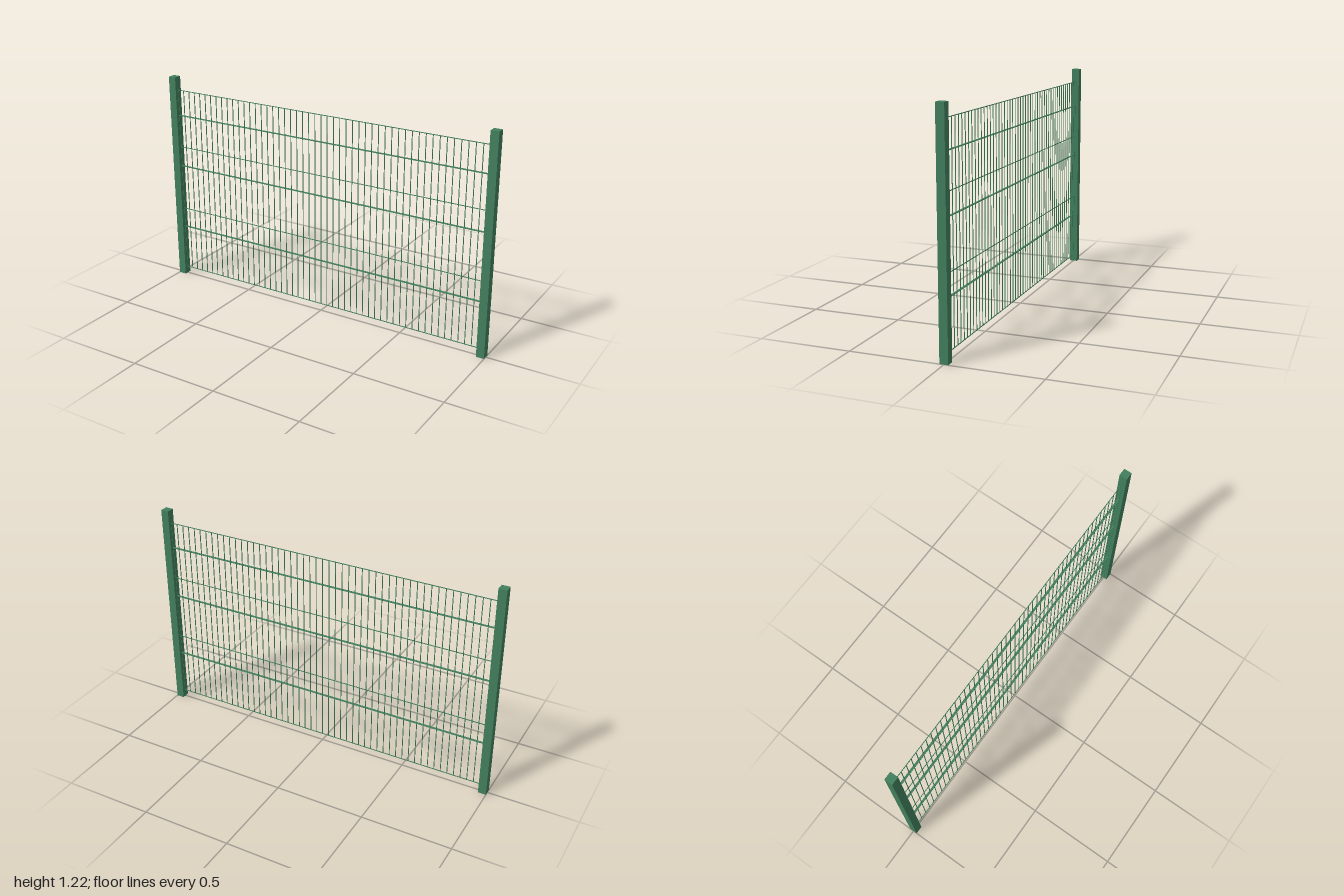
import * as THREE from 'three';

export function createModel() {
  const group = new THREE.Group();
  const green = new THREE.MeshStandardMaterial({ color: 0x427f5d });
  green.name = 'fence green';

  const addBox = (name, w, h, d, x, y) => {
    const mesh = new THREE.Mesh(new THREE.BoxGeometry(w, h, d), green);
    mesh.name = name;
    mesh.position.set(x, y, 0);
    group.add(mesh);
  };

  const postWidth = 0.045, postHeight = 1.222;
  const panelHalf = 1 - postWidth, bottom = 0.042, top = 1.145;
  const wire = 0.0035;

  // Square end posts
  for (const side of [1, -1]) {
    addBox(side > 0 ? 'leftPost' : 'rightPost', postWidth, postHeight, postWidth,
      side * (1 - postWidth / 2), postHeight / 2);
  }

  // Evenly spaced vertical wires
  const gaps = 50;
  for (let i = 0; i <= gaps; i++) {
    const x = -panelHalf + (2 * panelHalf * i) / gaps;
    addBox('verticalWire', wire, top - bottom, wire, x, (top + bottom) / 2);
  }

  // Thin horizontal wires
  for (const y of [bottom, 0.423, 0.806, top]) {
    addBox('horizontalWire', 2 * panelHalf, wire, wire, 0, y);
  }

  // Deeper flat rails that stiffen the panel
  for (const y of [0.308, 0.69, 0.996]) {
    addBox('flatRail', 2 * panelHalf, wire, 0.012, 0, y);
  }

  return group;
}
